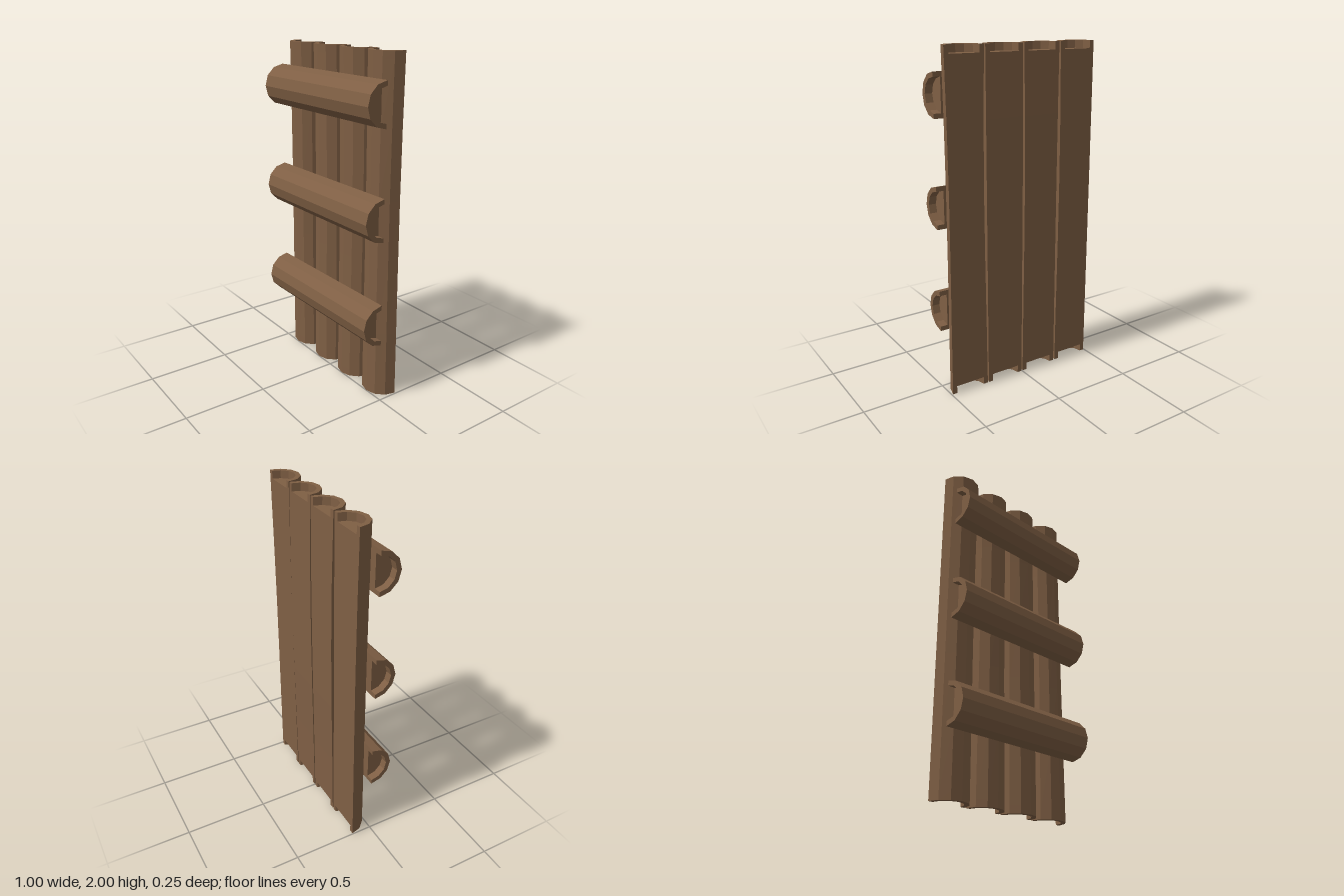
import * as THREE from 'three';

const SIDES = 6;       // facets round the half log
const RECESS = 0.045;  // depth of the hollow in each end

// Half log along +y, flat face at z = 0, round face towards +z.
// bend(t) returns { x, z, s }: sideways offset, depth offset and width scale.
function halfLog(length, radius, inner, levels, bend) {
  const rings = [];
  const addRing = (y, r) => {
    const { x, z, s } = bend(y / length);
    const ring = [];
    for (let j = 0; j <= SIDES; j++) {
      const a = (j / SIDES) * Math.PI;
      ring.push([x - Math.cos(a) * r * s, y, z + Math.sin(a) * r]);
    }
    rings.push(ring);
  };
  // from the lower hollow, over the rim, along the bark and into the upper hollow
  addRing(RECESS, inner);
  addRing(0, inner);
  addRing(0, radius);
  addRing(RECESS, radius);
  levels.forEach((y) => addRing(y, radius));
  addRing(length - RECESS, radius);
  addRing(length, radius);
  addRing(length, inner);
  addRing(length - RECESS, inner);

  const pos = [];
  const tri = (a, b, c) => pos.push(...a, ...b, ...c);
  const quad = (a, b, c, d) => { tri(a, b, c); tri(a, c, d); };
  const n = rings.length;
  const R = SIDES;

  // bark, rims and hollow walls
  for (let i = 0; i < n - 1; i++) {
    for (let j = 0; j < R; j++) {
      quad(rings[i][j], rings[i][j + 1], rings[i + 1][j + 1], rings[i + 1][j]);
    }
  }
  // sunken end faces
  for (let j = 1; j < R; j++) {
    tri(rings[0][0], rings[0][j + 1], rings[0][j]);
    tri(rings[n - 1][0], rings[n - 1][j], rings[n - 1][j + 1]);
  }
  // flat back
  for (let i = 3; i < n - 4; i++) {
    quad(rings[i][R], rings[i][0], rings[i + 1][0], rings[i + 1][R]);
  }
  // narrow back edges of the rims: [inner low, outer low, outer high, inner high]
  for (const [il, ol, oh, ih] of [[1, 2, 3, 0], [n - 1, n - 4, n - 3, n - 2]]) {
    quad(rings[il][0], rings[ol][0], rings[oh][0], rings[ih][0]);
    quad(rings[ol][R], rings[il][R], rings[ih][R], rings[oh][R]);
  }

  const g = new THREE.BufferGeometry();
  g.setAttribute('position', new THREE.Float32BufferAttribute(pos, 3));
  g.computeVertexNormals();
  return g;
}

export function createModel() {
  const group = new THREE.Group();
  const wood = new THREE.MeshStandardMaterial({ color: 0x7f5f44 });
  wood.name = 'brown wood';

  // upright half logs, each slightly warped around its upper middle
  const uprights = [
    { x: -0.375, sway: -0.002, back: -0.004, pinch: 0.04 },
    { x: -0.125, sway: 0.002, back: -0.008, pinch: 0.05 },
    { x: 0.124, sway: 0.003, back: -0.007, pinch: -0.01 },
    { x: 0.372, sway: 0.001, back: 0, pinch: 0.08 },
  ];
  uprights.forEach(({ x, sway, back, pinch }, i) => {
    const bend = (t) => {
      const b = Math.sin(Math.PI * Math.pow(t, 1.4));
      return { x: sway * b, z: back * b, s: 1 - pinch * b };
    };
    const log = new THREE.Mesh(halfLog(2, 0.12, 0.092, [0.4, 0.8, 1.2, 1.6], bend), wood);
    log.name = `uprightLog${i + 1}`;
    log.position.set(x, 0, -0.12);
    group.add(log);
  });

  // straight crossbars on the front
  const straight = () => ({ x: 0, z: 0, s: 1 });
  const barGeometry = halfLog(0.995, 0.125, 0.097, [], straight);
  [0.487, 1.111, 1.735].forEach((y, i) => {
    const bar = new THREE.Mesh(barGeometry, wood);
    bar.name = `crossbar${i + 1}`;
    bar.rotation.z = -Math.PI / 2;
    bar.position.set(-0.4985, y, 0.001);
    group.add(bar);
  });

  return group;
}
